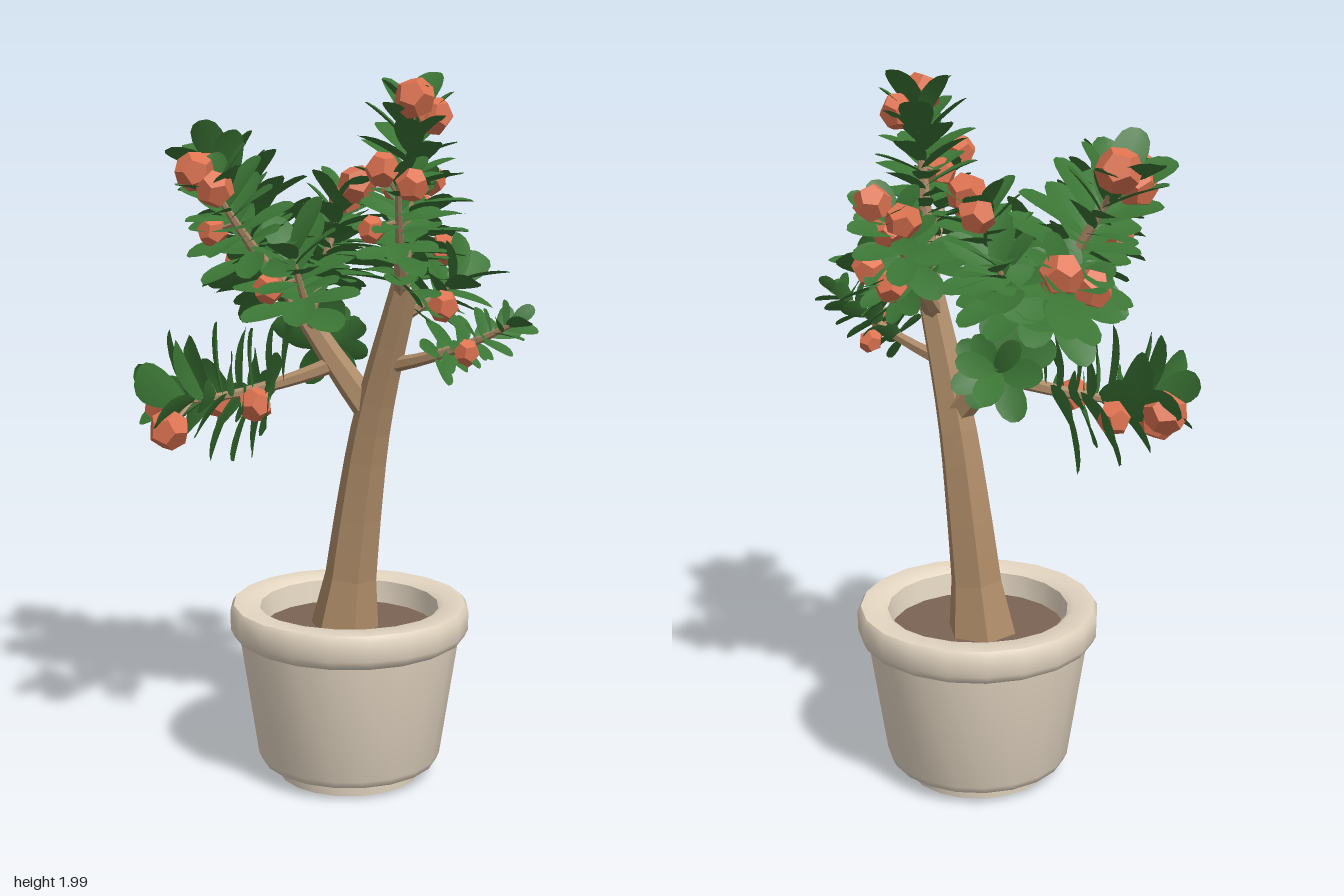
import * as THREE from 'three';
import { mergeGeometries, toCreasedNormals } from 'three/addons/utils/BufferGeometryUtils.js';

const mat = (name, color, side = THREE.FrontSide) => {
  const m = new THREE.MeshStandardMaterial({ color, side });
  m.name = name;
  return m;
};
const vec = (x, y, z) => new THREE.Vector3(x, y, z);

// Six-sided tapered tube with flat faces
function limbGeometry(curve, radiusAt, segments) {
  const g = new THREE.TubeGeometry(curve, segments, 1, 6);
  const p = g.attributes.position, v = vec(0, 0, 0);
  for (let i = 0; i < p.count; i++) {
    const t = Math.floor(i / 7) / segments, c = curve.getPointAt(t);
    v.fromBufferAttribute(p, i).sub(c).multiplyScalar(radiusAt(t)).add(c);
    p.setXYZ(i, v.x, v.y, v.z);
  }
  const flat = g.toNonIndexed();
  flat.computeVertexNormals();
  return flat;
}

// Rounded leaf of unit length along y, widest past the middle, slightly cupped and drooping
function leafGeometry() {
  const g = new THREE.PlaneGeometry(1, 1, 2, 8);
  const p = g.attributes.position;
  for (let i = 0; i < p.count; i++) {
    const s = (1 - Math.cos(Math.PI * (p.getY(i) + 0.5))) / 2;
    const width = 0.02 + Math.sqrt(Math.max(0, s * (1 - s))) * (0.7 + 0.6 * s);
    const x = p.getX(i) * width;
    p.setXYZ(i, x, s, 0.18 * Math.abs(x) - 0.12 * s * s);
  }
  g.computeVertexNormals();
  return g;
}

// Leaves spiralling out along a branch, more upright at its tip
function foliageGeometry(curve, count, start, size, leaf) {
  const list = [];
  for (let i = 0; i < count; i++) {
    const tip = i / (count - 1), t = start + (1 - start) * tip;
    const axis = curve.getTangentAt(t).lerp(vec(0, 1, 0), 0.3).normalize();
    const out = vec(1, 0, 0.3).cross(axis).normalize().applyAxisAngle(axis, i * 2.4);
    const tilt = THREE.MathUtils.lerp(1.4, 0.55, tip * tip) + 0.12 * Math.sin(i * 5.3);
    const dir = out.clone().multiplyScalar(Math.sin(tilt)).addScaledVector(axis, Math.cos(tilt));
    const up = axis.clone().multiplyScalar(Math.sin(tilt)).addScaledVector(out, -Math.cos(tilt));
    const s = size * (1 - 0.15 * tip + 0.12 * Math.sin(i * 3.7));
    const m = new THREE.Matrix4().makeBasis(dir.clone().cross(up), dir, up).scale(vec(s, s, s));
    list.push(leaf.clone().applyMatrix4(m.setPosition(curve.getPointAt(t))));
  }
  return mergeGeometries(list);
}

export function createModel() {
  const model = new THREE.Group();
  model.name = 'pottedTree';
  const clay = mat('clay', 0xe4d6c2), earth = mat('soil', 0x7a6455);
  const bark = mat('bark', 0xac8a67);
  const green = mat('leafGreen', 0x3b7535, THREE.DoubleSide);
  const orange = mat('fruitOrange', 0xde7351);
  const add = (parent, name, geometry, material) => {
    const mesh = new THREE.Mesh(geometry, material);
    mesh.name = name;
    parent.add(mesh);
    return mesh;
  };

  // Pot with foot, tapered wall and heavy rim
  const profile = [
    [0, 0], [0.207, 0], [0.21, 0.035], [0.235, 0.037], [0.255, 0.045], [0.264, 0.065],
    [0.315, 0.41], [0.332, 0.42], [0.342, 0.44], [0.343, 0.495], [0.333, 0.511],
    [0.275, 0.512], [0.257, 0.5], [0.245, 0.4],
  ].map(([x, y]) => new THREE.Vector2(x, y));
  const pot = add(model, 'pot', toCreasedNormals(new THREE.LatheGeometry(profile, 20), 0.8), clay);
  pot.position.set(0.05, 0, -0.01);

  // Soil
  const soil = add(model, 'soil', new THREE.CylinderGeometry(0.248, 0.242, 0.02, 20), earth);
  soil.position.set(0.05, 0.425, -0.01);

  // Leaning trunk with a flared foot
  const trunk = new THREE.CatmullRomCurve3([
    vec(0.05, 0.41, -0.03), vec(0.065, 0.8, 0.015), vec(0.07, 1.05, 0.06), vec(0.07, 1.43, 0.18),
  ]);
  const trunkRadius = (t) => 0.083 - 0.045 * t + 0.02 * Math.max(0, 1 - 6 * t);
  add(model, 'trunk', limbGeometry(trunk, trunkRadius, 12), bark);

  const leaf = leafGeometry();

  // Faceted fruit on a short stalk
  function addFruit(group, from, at, radius, turn) {
    const stalk = new THREE.LineCurve3(from, at);
    add(group, 'stalk', limbGeometry(stalk, () => 0.006, 1), bark);
    const fruit = add(group, 'fruit', new THREE.DodecahedronGeometry(radius), orange);
    fruit.position.copy(at);
    fruit.rotation.set(turn, turn * 2, 0);
  }

  // Branch leaving its parent at t, bending up to its tip, with leaves and a cluster of fruits
  function grow(name, parent, t, tip, leaves, start, size, tipFruits, sideFruits) {
    const group = new THREE.Group();
    group.name = name;
    model.add(group);
    const base = parent.getPointAt(t), span = tip.clone().sub(base);
    const bend = base.clone().lerp(tip, 0.5);
    bend.y -= 0.08 * span.length();
    const curve = new THREE.QuadraticBezierCurve3(base, bend, tip);
    const thick = Math.max(0.016, 0.055 * span.length());
    add(group, 'branch', limbGeometry(curve, (u) => THREE.MathUtils.lerp(thick, 0.007, u), 8), bark);
    add(group, 'leaves', foliageGeometry(curve, leaves, start, size, leaf), green);

    // Fruits sit above the tip of a rising branch and hang below a sinking one
    const heading = Math.atan2(span.z, span.x), radius = 0.028 + size * 0.16;
    const lift = span.y > 0 ? 0.9 : -0.3;
    for (let i = 0; i < tipFruits; i++) {
      const a = heading + [0.9, -0.9, 2.6][i];
      const offset = vec(Math.cos(a), lift - i * 0.8, Math.sin(a)).multiplyScalar(radius);
      addFruit(group, curve.getPointAt(0.93), tip.clone().add(offset), radius * (1 - 0.06 * i), i + heading);
    }
    for (let i = 0; i < sideFruits; i++) {
      const from = curve.getPointAt(0.72 - 0.2 * i), a = heading + 1.4 - 2.8 * i;
      const offset = vec(Math.cos(a), -0.3, Math.sin(a)).multiplyScalar(radius * 1.5);
      addFruit(group, from, from.clone().add(offset), radius * 0.8, i + 2);
    }
    return curve;
  }

  // Limbs from the trunk
  grow('leader', trunk, 0.93, vec(0.075, 1.87, 0.2), 50, 0.1, 0.175, 2, 1);
  const backLimb = grow('backLimb', trunk, 0.63, vec(-0.07, 1.72, -0.4), 40, 0.52, 0.205, 2, 1);
  const leftLimb = grow('leftLimb', trunk, 0.9, vec(0.375, 1.65, -0.07), 26, 0.5, 0.14, 3, 0);
  grow('frontRightBranch', trunk, 0.96, vec(-0.1, 1.7, 0.31), 22, 0.4, 0.12, 2, 1);
  grow('lowFrontBranch', trunk, 0.77, vec(0.15, 1.34, 0.48), 28, 0.4, 0.1, 0, 2);
  grow('frontLeftBranch', trunk, 0.9, vec(0.17, 1.44, 0.27), 18, 0.3, 0.17, 0, 1);

  // Side branches from the limbs
  grow('leftTwig', leftLimb, 0.35, vec(0.31, 1.46, 0.04), 10, 0.3, 0.12, 2, 0);
  grow('rightBranch', backLimb, 0.5, vec(-0.28, 1.68, -0.19), 26, 0.35, 0.17, 2, 1);
  grow('middleBranch', backLimb, 0.4, vec(0.1, 1.64, -0.1), 26, 0.35, 0.17, 2, 0);
  grow('lowRightBranch', backLimb, 0.22, vec(-0.32, 1.1, -0.3), 28, 0.35, 0.215, 2, 2);
  grow('lowLeftBranch', backLimb, 0.3, vec(0.13, 1.24, -0.18), 12, 0.4, 0.15, 0, 0);
  grow('backLeftBranch', backLimb, 0.45, vec(0.14, 1.52, -0.2), 20, 0.3, 0.185, 0, 0);
  grow('innerRightBranch', backLimb, 0.35, vec(-0.11, 1.5, -0.07), 20, 0.3, 0.185, 0, 1);
  grow('rearBranch', backLimb, 0.5, vec(0.03, 1.47, -0.35), 18, 0.3, 0.185, 2, 0);
  return model;
}
